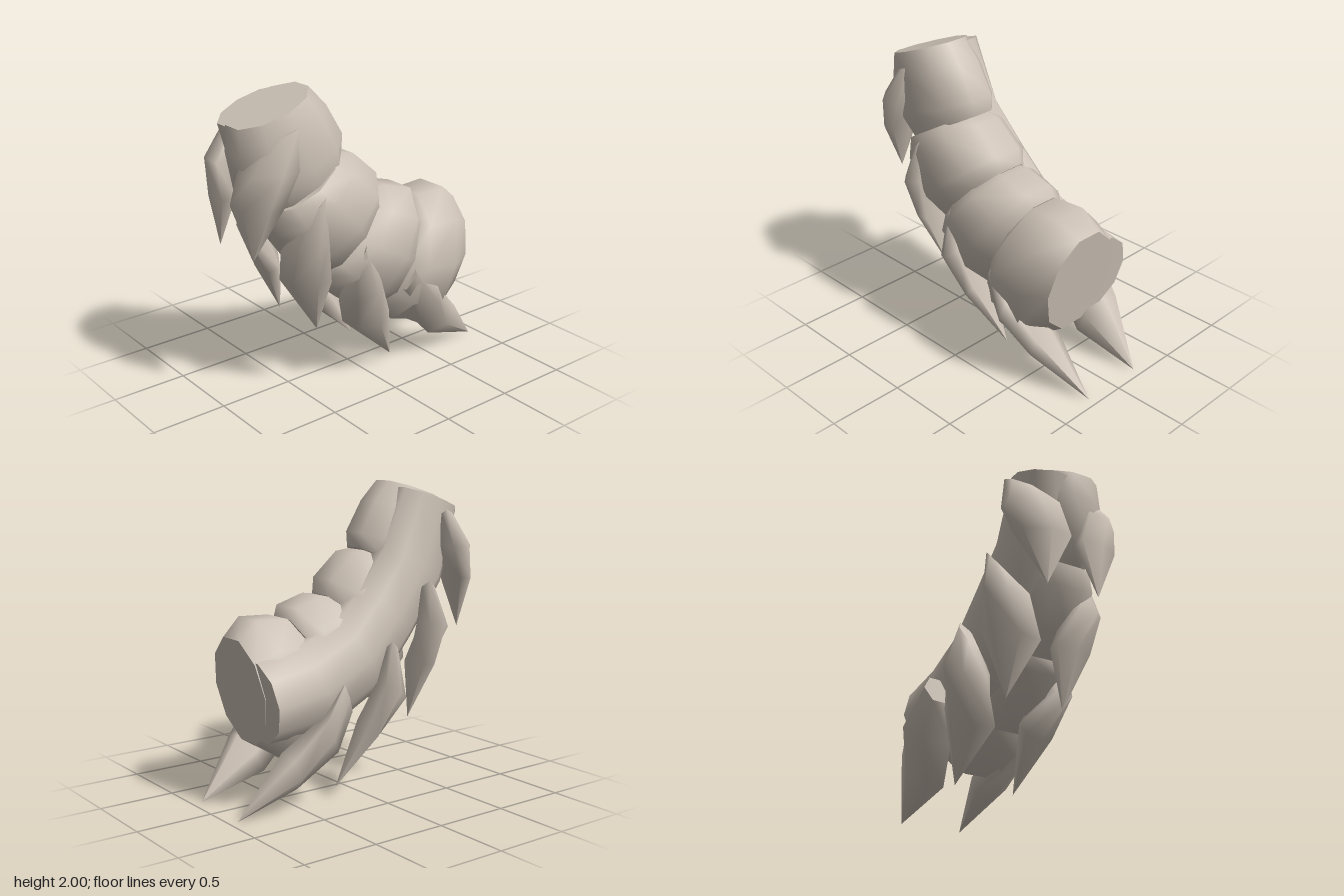
import * as THREE from 'three';

const shell = new THREE.MeshStandardMaterial({ color: 0xcdc2b6 });
shell.name = 'shell beige';

// Closed loft through rings of points: smooth sides, sharp flat end caps.
function loft(rings) {
  const n = rings[0].length, pos = [], idx = [];
  rings.forEach(r => r.forEach(p => pos.push(p.x, p.y, p.z)));
  for (let i = 0; i < rings.length - 1; i++) {
    for (let j = 0; j < n; j++) {
      const a = i * n + j, b = i * n + (j + 1) % n;
      idx.push(a, b, b + n, a, b + n, a + n);
    }
  }
  const cap = (ring, flip) => {
    const s = pos.length / 3;
    ring.forEach(p => pos.push(p.x, p.y, p.z));
    for (let j = 1; j < n - 1; j++) {
      if (flip) idx.push(s, s + j + 1, s + j);
      else idx.push(s, s + j, s + j + 1);
    }
  };
  cap(rings[0], true);
  cap(rings[rings.length - 1], false);

  // Turn the faces outward when the enclosed volume comes out negative.
  const at = i => new THREE.Vector3().fromArray(pos, i * 3);
  let volume = 0;
  for (let i = 0; i < idx.length; i += 3) {
    volume += at(idx[i]).dot(at(idx[i + 1]).cross(at(idx[i + 2])));
  }
  if (volume < 0) idx.reverse();

  const g = new THREE.BufferGeometry();
  g.setAttribute('position', new THREE.Float32BufferAttribute(pos, 3));
  g.setIndex(idx);
  g.computeVertexNormals();
  return g;
}

// Ten-sided ring from its upper and lower edge: [topZ, topY, bottomZ, bottomY, centreX, radiusX]
function bodyRing([tz, ty, bz, by, cx, rx]) {
  const k = 0.5 / Math.sin(Math.PI * 0.4);
  return Array.from({ length: 10 }, (_, i) => {
    const a = i * Math.PI / 5, s = Math.sin(a) * k;
    return new THREE.Vector3(cx + rx * Math.cos(a),
      (ty + by) / 2 + s * (ty - by), (tz + bz) / 2 + s * (tz - bz));
  });
}

// Six-sided oval from a centre, a long and a short half axis
function clawRing([c, u, v], side) {
  return Array.from({ length: 6 }, (_, i) => {
    const a = i * Math.PI / 3, p = new THREE.Vector3(...c);
    p.addScaledVector(new THREE.Vector3(...u), Math.cos(a));
    p.addScaledVector(new THREE.Vector3(...v), Math.sin(a));
    p.x *= side;
    return p;
  });
}

// Barrel segments, front to back
const segments = [
  [[0.40, 2.00, 0.90, 1.82, 0.065, 0.22], [0.28, 1.87, 0.91, 1.66, 0.07, 0.25],
    [0.16, 1.67, 0.86, 1.42, 0.07, 0.26], [0.16, 1.57, 0.72, 1.27, 0.07, 0.23]],
  [[0.22, 1.56, 0.72, 1.27, 0.08, 0.25], [0.10, 1.54, 0.69, 1.13, 0.09, 0.31],
    [-0.08, 1.38, 0.52, 0.90, 0.09, 0.33], [-0.11, 1.28, 0.37, 0.78, 0.08, 0.27]],
  [[-0.06, 1.27, 0.37, 0.78, 0.08, 0.27], [-0.16, 1.28, 0.33, 0.70, 0.10, 0.34],
    [-0.36, 1.22, 0.10, 0.50, 0.10, 0.35], [-0.40, 1.15, -0.10, 0.44, 0.09, 0.30]],
  [[-0.38, 1.13, -0.08, 0.45, 0.09, 0.29], [-0.42, 1.16, -0.20, 0.33, 0.11, 0.35],
    [-0.64, 1.17, -0.45, 0.25, 0.11, 0.36], [-0.78, 1.06, -0.66, 0.38, 0.09, 0.29]],
];

// Continuous inner body, showing along one flank
const core = [
  [0.43, 1.96, 0.88, 1.80, -0.07, 0.18], [0.25, 1.57, 0.74, 1.32, -0.08, 0.18],
  [0.05, 1.33, 0.46, 0.97, -0.09, 0.205], [-0.16, 1.13, 0.18, 0.65, -0.09, 0.225],
  [-0.44, 1.01, -0.22, 0.45, -0.09, 0.24], [-0.75, 0.94, -0.67, 0.43, -0.09, 0.25],
];

// Claw cross-sections from shoulder to tip
const zero = [0, 0, 0];
const claws = [
  [[[0.24, 1.76, 0.70], [0.09, 0.06, -0.08], [0.03, 0, 0.03]],
    [[0.24, 1.57, 0.775], [0.13, 0.01, -0.13], [0.095, 0, 0.07]],
    [[0.19, 1.35, 0.83], [0.15, 0.01, -0.09], [0.08, 0, 0.06]],
    [[0.18, 1.01, 0.86], zero, zero]],
  [[[0.29, 1.28, 0.49], [0.07, 0.09, -0.04], [0.04, 0, 0.03]],
    [[0.28, 1.06, 0.55], [0.10, 0.03, -0.11], [0.11, 0, 0.05]],
    [[0.21, 0.80, 0.50], [0.15, 0.02, -0.09], [0.08, 0, 0.06]],
    [[0.20, 0.44, 0.41], zero, zero]],
  [[[0.32, 0.92, 0.17], [0.05, 0.09, -0.03], [0.05, 0, 0.01]],
    [[0.33, 0.68, 0.16], [0.08, 0.06, -0.11], [0.12, -0.02, 0.02]],
    [[0.24, 0.43, 0.04], [0.13, 0.06, -0.09], [0.08, -0.06, 0.03]],
    [[0.21, 0.07, -0.20], zero, zero]],
  [[[0.34, 0.68, -0.20], [0.04, 0.10, -0.05], [0.07, -0.03, -0.02]],
    [[0.33, 0.47, -0.32], [0.10, 0.11, -0.10], [0.12, -0.06, -0.04]],
    [[0.25, 0.26, -0.58], [0.13, 0.10, -0.05], [0.07, -0.09, 0.04]],
    [[0.22, 0.00, -0.94], zero, zero]],
];

export function createModel() {
  const model = new THREE.Group();
  model.name = 'clawedBody';
  const add = (name, rings) => {
    const mesh = new THREE.Mesh(loft(rings), shell);
    mesh.name = name;
    model.add(mesh);
  };

  segments.forEach((s, i) => add(`bodySegment${i + 1}`, s.map(bodyRing)));
  add('innerBody', core.map(bodyRing));

  // Four mirrored pairs of claws
  claws.forEach((c, i) => {
    add(`leftClaw${i + 1}`, c.map(r => clawRing(r, 1)));
    add(`rightClaw${i + 1}`, c.map(r => clawRing(r, -1)));
  });
  return model;
}
